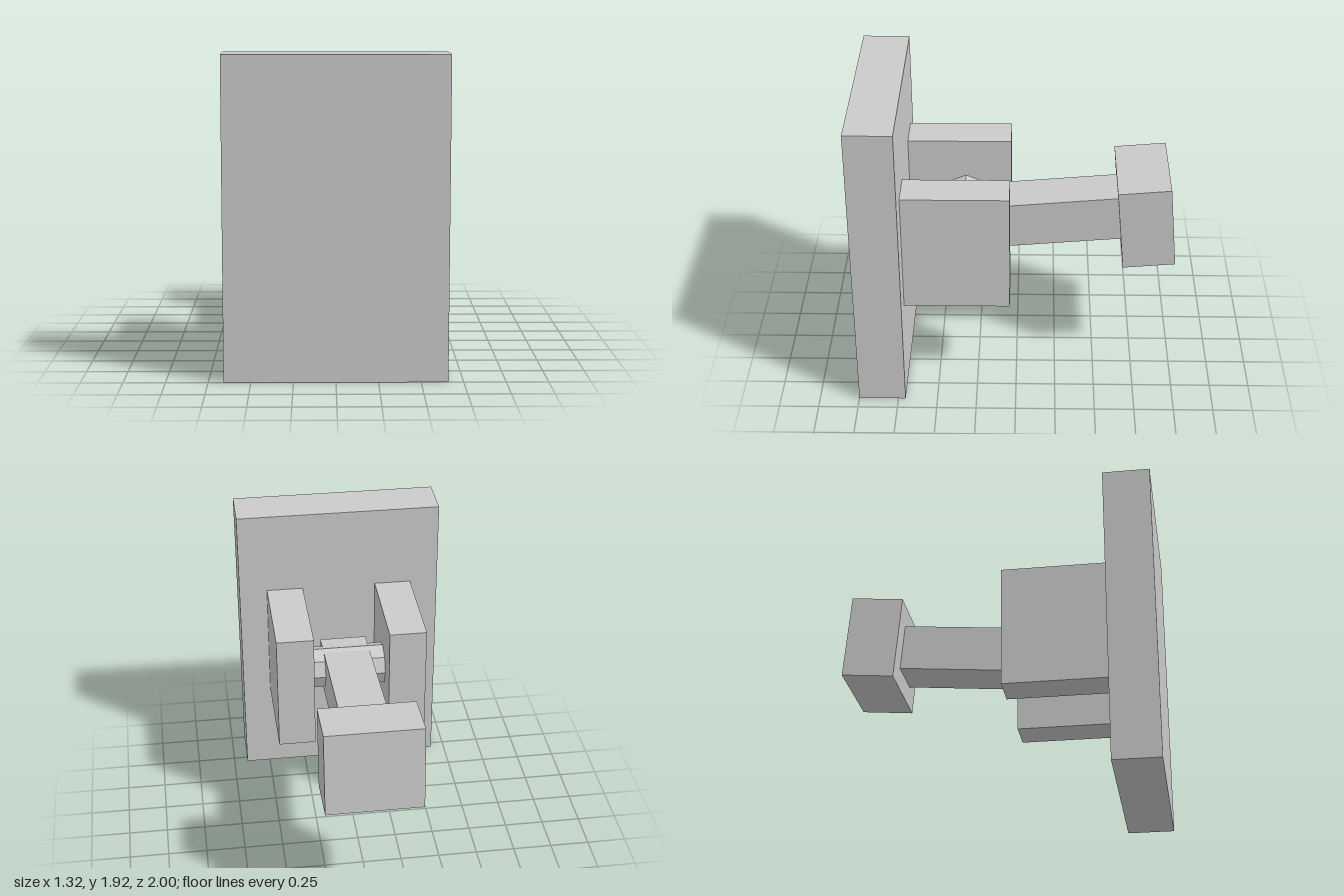
import * as THREE from 'three';

const material = new THREE.MeshStandardMaterial({ color: 0xcccccc, flatShading: true });

function part(name, geometry, x, y, z) {
  const mesh = new THREE.Mesh(geometry, material);
  mesh.name = name;
  mesh.position.set(x, y, z);
  return mesh;
}

const box = (name, w, h, d, x, y, z) => part(name, new THREE.BoxGeometry(w, h, d), x, y, z);

export function createModel() {
  const model = new THREE.Group();
  model.name = 'leverSwitch';

  // Mounting plate
  model.add(box('plate', 1.32, 1.92, 0.296, 0, 0.96, 0.852));

  // Pair of brackets holding the axle
  for (const [name, side] of [['leftBracket', 1], ['rightBracket', -1]]) {
    model.add(box(name, 0.238, 0.78, 0.664, side * 0.36, 0.99, 0.372));
  }

  // Eight-sided axle with an edge pointing up
  const axle = new THREE.CylinderGeometry(0.135, 0.135, 0.482, 8).rotateZ(Math.PI / 2);
  model.add(part('axle', axle, 0, 0.993, 0.335));

  // Tilted lever with a block handle
  const lever = new THREE.Group();
  lever.name = 'lever';
  lever.position.set(0, 1.063, -0.812);
  lever.rotation.x = THREE.MathUtils.degToRad(5);
  lever.add(box('handle', 0.6, 0.54, 0.33, 0, 0, 0));
  lever.add(box('leverArm', 0.3, 0.298, 1.144, 0, 0, 0.732));
  model.add(lever);

  return model;
}
